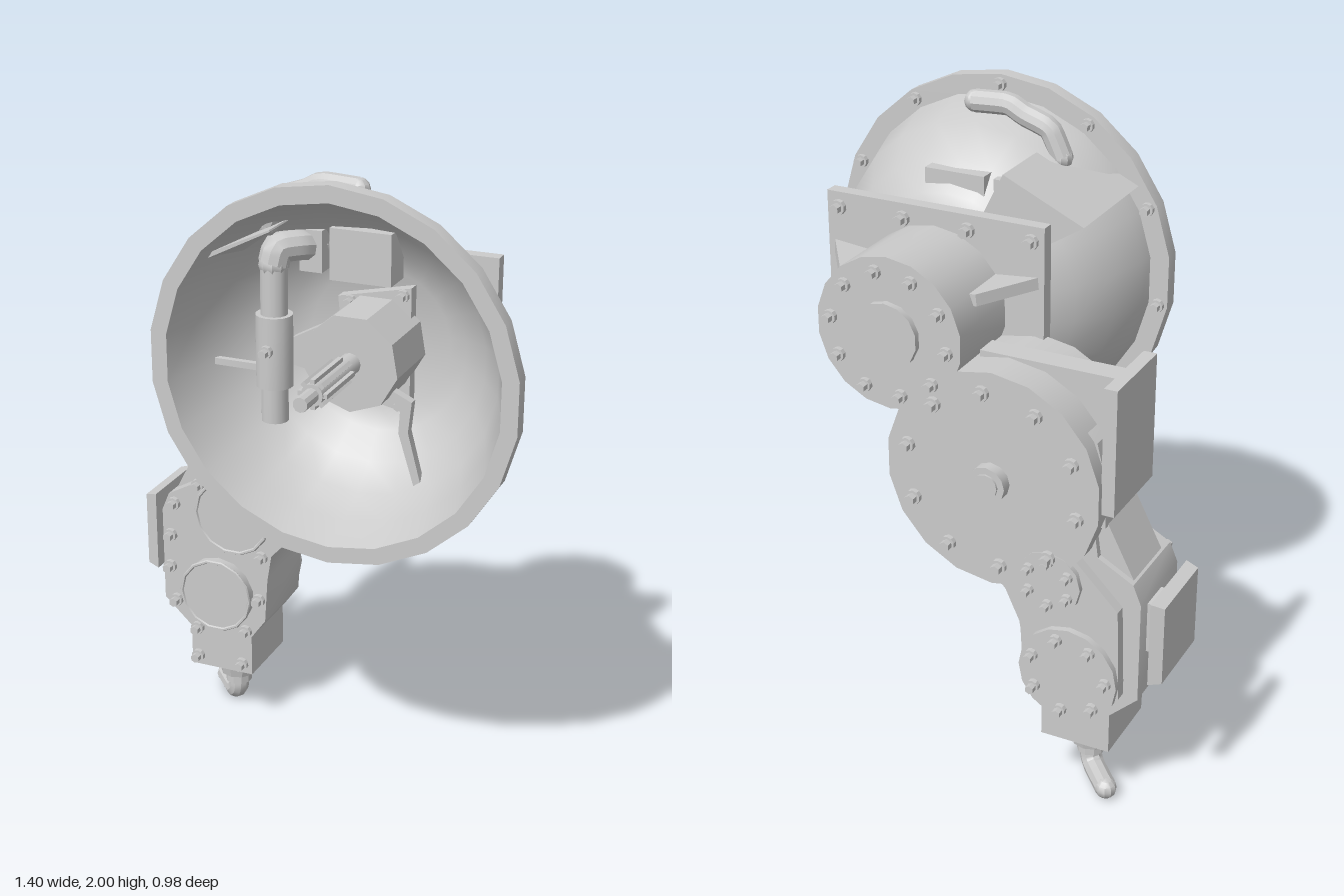
import * as THREE from 'three';
import { toCreasedNormals } from 'three/addons/utils/BufferGeometryUtils.js';

const material = new THREE.MeshStandardMaterial({ color: 0xcccccc });
const BELL = [0.14, 1.44];
const MID = [-0.18, 1.055];
const UPPER_COVER = [-0.36, 0.77];
const LOWER_COVER = [-0.425, 0.475];

export function createModel() {
  const root = new THREE.Group();

  const add = (name, geometry, x = 0, y = 0, z = 0) => {
    const mesh = new THREE.Mesh(toCreasedNormals(geometry, 0.6), material);
    mesh.name = name;
    mesh.position.set(x, y, z);
    root.add(mesh);
    return mesh;
  };
  // Round part along z from z0 to z1 (rFront is the radius at z1)
  const disc = (name, [x, y], r, z0, z1, sides = 16, rFront = r) =>
    add(name, new THREE.CylinderGeometry(rFront, r, z1 - z0, sides).rotateX(Math.PI / 2), x, y, (z0 + z1) / 2);
  const box = (name, x0, x1, y0, y1, z0, z1) =>
    add(name, new THREE.BoxGeometry(x1 - x0, y1 - y0, z1 - z0), (x0 + x1) / 2, (y0 + y1) / 2, (z0 + z1) / 2);
  // Flat outline in xy, extruded from z0 to z1
  const slab = (name, points, z0, z1) => {
    const shape = new THREE.Shape(points.map(p => new THREE.Vector2(...p)));
    return add(name, new THREE.ExtrudeGeometry(shape, { depth: z1 - z0, bevelEnabled: false }), 0, 0, z0);
  };
  // Solid through equal-sized counter-clockwise loops, ordered along +z
  const loft = (name, loops) => {
    const n = loops[0].length, index = [], last = (loops.length - 1) * n;
    for (let k = 0; k < loops.length - 1; k++)
      for (let i = 0; i < n; i++) {
        const a = k * n + i, b = k * n + (i + 1) % n;
        index.push(a, b, b + n, a, b + n, a + n);
      }
    for (let i = 1; i < n - 1; i++) index.push(0, i + 1, i, last, last + i, last + i + 1);
    const geometry = new THREE.BufferGeometry();
    geometry.setAttribute('position', new THREE.Float32BufferAttribute(loops.flat(2), 3));
    geometry.setIndex(index);
    geometry.computeVertexNormals();
    return add(name, geometry);
  };
  // Washer and hex head; dir is the way the head points along z
  const bolt = (x, y, z, dir, size = 0.017) => {
    const span = (a, b) => (dir > 0 ? [z + a, z + b] : [z - b, z - a]);
    disc('boltWasher', [x, y], size * 1.15, ...span(-0.005, 0.015), 10);
    disc('boltHead', [x, y], size * 0.8, ...span(0.01, 0.036), 6);
  };
  const boltRing = ([x, y], r, z, count, dir, size, start = 0) => {
    for (let i = 0; i < count; i++) {
      const a = start + (i / count) * Math.PI * 2;
      bolt(x + Math.sin(a) * r, y + Math.cos(a) * r, z, dir, size);
    }
  };
  const tube = (name, points, r, sides = 10) => {
    const path = new THREE.CatmullRomCurve3(points.map(p => new THREE.Vector3(...p)), false, 'catmullrom', 0.2);
    add(name, new THREE.TubeGeometry(path, 20, r, sides), 0, 0, 0);
    for (const i of [0, points.length - 1])
      add(name + 'End', new THREE.SphereGeometry(r * 0.99, sides, 6), ...points[i]);
  };

  // Bell housing: outer wall, flange, inner wall
  const outer = [[0, -0.14], [0.24, -0.14], [0.3, -0.1], [0.38, -0.03], [0.455, 0.08], [0.49, 0.2], [0.5, 0.24]];
  const inner = [[0.56, 0.24], [0.56, 0.29], [0.51, 0.29], [0.475, 0.18], [0.43, 0.07], [0.36, -0.02], [0.28, -0.08], [0.22, -0.11], [0, -0.11]];
  const profile = [...outer, ...inner].map(p => new THREE.Vector2(...p));
  add('bellHousing', new THREE.LatheGeometry(profile, 22).rotateX(Math.PI / 2), ...BELL, 0);
  boltRing(BELL, 0.53, 0.24, 11, -1, 0.018);

  // Pocket block standing on the outside of the bell
  const corners = [[-0.31, 1.725], [-0.06, 1.84]];
  loft('starterPocket', outer.slice(1).map(([r, z]) => {
    const foot = corners.map(([x, y]) => {
      const dx = x - BELL[0], dy = y - BELL[1], d = Math.hypot(dx, dy);
      const f = Math.min(r * 1.03, d - 0.005) / d;
      return [BELL[0] + dx * f, BELL[1] + dy * f, z];
    });
    return [foot[0], foot[1], [...corners[1], z], [...corners[0], z]];
  }));

  // Breather pipe over the bell
  tube('breatherPipe', [[0.16, 1.95, 0.12], [0.05, 1.955, 0.12], [0, 1.93, 0.12], [-0.08, 1.9, 0.12], [-0.12, 1.82, 0.12]], 0.034);

  // Mounting plate with gussets
  box('mountingPlate', -0.21, 0.49, 1.16, 1.72, -0.18, -0.138);
  for (const x of [-0.17, 0.03, 0.24, 0.45])
    for (const y of [1.205, 1.675]) bolt(x, y, -0.18, -1, 0.02);
  for (const side of [-1, 1])
    for (const [y, tilt] of [[1.52, 0.1], [1.34, -0.1]]) {
      const s = new THREE.Shape([[0.18, 0.17], [0.34, 0.17], [0.33, 0.185], [0.22, 0.34], [0.18, 0.34]].map(p => new THREE.Vector2(...p)));
      const gusset = add('plateGusset', new THREE.ExtrudeGeometry(s, { depth: 0.035, bevelEnabled: false })
        .translate(0, 0, -0.0175).rotateX(-Math.PI / 2), BELL[0], y, 0);
      gusset.rotation.z = tilt * side;
      if (side < 0) gusset.rotation.z += Math.PI;
    }

  // Upper gear case
  disc('upperGearCase', BELL, 0.23, -0.45, -0.17, 18);
  disc('upperBearingCap', BELL, 0.1, -0.47, -0.44, 14);
  boltRing(BELL, 0.185, -0.45, 10, -1, 0.018, 0.2);

  // Middle gear case
  disc('middleGearCase', MID, 0.335, -0.45, -0.155, 18);
  disc('middleBearingCap', MID, 0.058, -0.485, -0.44, 12);
  disc('middleCapCentre', MID, 0.038, -0.492, -0.48, 12);
  boltRing(MID, 0.27, -0.45, 10, -1, 0.02, 0.1);

  // Side pad and its web
  box('sidePad', -0.548, -0.508, 1.02, 1.405, -0.43, -0.16);
  box('sidePadWeb', -0.51, -0.09, 1.08, 1.395, -0.34, -0.265);
  slab('sidePadBrace', [[-0.51, 0.96], [-0.3, 0.96], [-0.2, 1.38], [-0.4, 1.29], [-0.48, 1.22], [-0.51, 1.1]], -0.4, -0.19);

  // Lower gear case
  slab('lowerGearCase', [[-0.53, 0.33], [-0.31, 0.33], [-0.26, 0.4], [-0.25, 0.55], [-0.235, 0.64], [-0.17, 0.71],
    [-0.155, 0.8], [-0.18, 0.88], [-0.24, 0.93], [-0.36, 0.95], [-0.48, 0.93], [-0.49, 0.86], [-0.6, 0.8], [-0.625, 0.74], [-0.625, 0.42]], -0.4, -0.13);
  slab('caseBridge', [[-0.605, 0.78], [-0.2, 0.7], [-0.2, 0.95], [-0.51, 0.965]], -0.38, -0.18);
  slab('lowerCaseBack', [[-0.51, 0.35], [-0.34, 0.35], [-0.275, 0.43], [-0.265, 0.6], [-0.2, 0.74], [-0.3, 0.85],
    [-0.44, 0.85], [-0.57, 0.72], [-0.58, 0.43]], -0.435, -0.39);
  for (const [c, r] of [[UPPER_COVER, 0.13], [LOWER_COVER, 0.125]]) {
    disc('frontBearingCover', c, r, -0.14, -0.1, 14);
    add('frontCoverRim', new THREE.TorusGeometry(r - 0.003, 0.006, 6, 14), ...c, -0.1);
  }
  disc('smallBackCover', UPPER_COVER, 0.1, -0.452, -0.42, 12);
  boltRing(UPPER_COVER, 0.07, -0.452, 6, -1, 0.015);
  disc('largeBackCover', LOWER_COVER, 0.155, -0.455, -0.36, 16);
  boltRing(LOWER_COVER, 0.12, -0.455, 7, -1, 0.017, 0.3);
  const frontBolts = [[-0.38, 0.92], [-0.24, 0.9], [-0.49, 0.85], [-0.58, 0.77], [-0.19, 0.76], [-0.595, 0.655], [-0.27, 0.63],
    [-0.6, 0.54], [-0.58, 0.42], [-0.28, 0.475], [-0.505, 0.33], [-0.33, 0.35], [-0.505, 0.225], [-0.345, 0.225]];
  for (const [x, y] of frontBolts) bolt(x, y, -0.13, 1, 0.019);

  // Lower side pad on a short neck
  box('lowerPadNeck', -0.67, -0.61, 0.56, 0.72, -0.35, -0.25);
  const pad = new THREE.CylinderGeometry(0.176, 0.19, 0.04, 4, 1).rotateY(Math.PI / 4).rotateZ(Math.PI / 2);
  add('lowerSidePad', pad, -0.685, 0.638, -0.295);

  // Sump and drain elbow
  box('sump', -0.53, -0.31, 0.19, 0.4, -0.38, -0.13);
  add('drainCollar', new THREE.CylinderGeometry(0.075, 0.06, 0.07, 10), -0.42, 0.157, -0.255);
  add('drainNut', new THREE.CylinderGeometry(0.044, 0.044, 0.04, 10), -0.42, 0.108, -0.255);
  tube('drainElbow', [[-0.42, 0.12, -0.255], [-0.42, 0.065, -0.255], [-0.44, 0.038, -0.272], [-0.515, 0.037, -0.355]], 0.034);

  // Release hub, splined input shaft and inner retaining plate
  slab('retainingPlate', [[0.05, 1.27], [0.25, 1.23], [0.25, 1.62], [0.02, 1.57]], -0.115, -0.07);
  for (const [x, y] of [[0.06, 1.29], [0.225, 1.26], [0.06, 1.56], [0.225, 1.595]]) bolt(x, y, -0.07, 1);
  disc('releaseHub', BELL, 0.148, -0.1, 0.13, 9);
  disc('inputShaft', BELL, 0.033, 0.1, 0.405, 12);
  for (let i = 0; i < 8; i++) {
    const a = (i / 8) * Math.PI * 2;
    const spline = box('shaftSpline', -0.007, 0.007, -0.012, 0.012, 0.2, 0.4);
    spline.position.set(BELL[0] + Math.sin(a) * 0.032, BELL[1] + Math.cos(a) * 0.032, 0.3);
    spline.rotation.z = -a;
  }
  disc('shaftPilot', BELL, 0.022, 0.4, 0.485, 10);

  // Release lever, linkage arm and upright cylinder inside the bell
  slab('releaseLever', [[0.24, 1.35], [0.22, 1.33], [0.27, 1.3], [0.265, 1.22], [0.315, 1.06], [0.335, 1.075],
    [0.295, 1.225], [0.305, 1.32]], 0.03, 0.06);
  slab('linkageArm', [[-0.07, 1.39], [0.04, 1.37], [0.04, 1.53], [-0.07, 1.47]], 0.03, 0.07);
  add('uprightCylinder', new THREE.CylinderGeometry(0.041, 0.041, 0.5, 14), -0.11, 1.47, 0.1);
  add('cylinderCollar', new THREE.CylinderGeometry(0.056, 0.056, 0.22, 14), -0.11, 1.44, 0.1);
  box('collarPin', -0.3, -0.11, 1.37, 1.39, 0.09, 0.11);
  bolt(-0.11, 1.45, 0.155, 1);
  tube('cylinderElbow', [[-0.11, 1.7, 0.1], [-0.1, 1.745, 0.09], [-0.06, 1.745, 0.04], [-0.03, 1.73, -0.03]], 0.046);
  box('innerPocket', 0.03, 0.22, 1.645, 1.8, -0.08, 0.02);
  box('innerPocketSide', -0.06, 0.01, 1.665, 1.79, -0.06, 0.03);

  return root;
}
